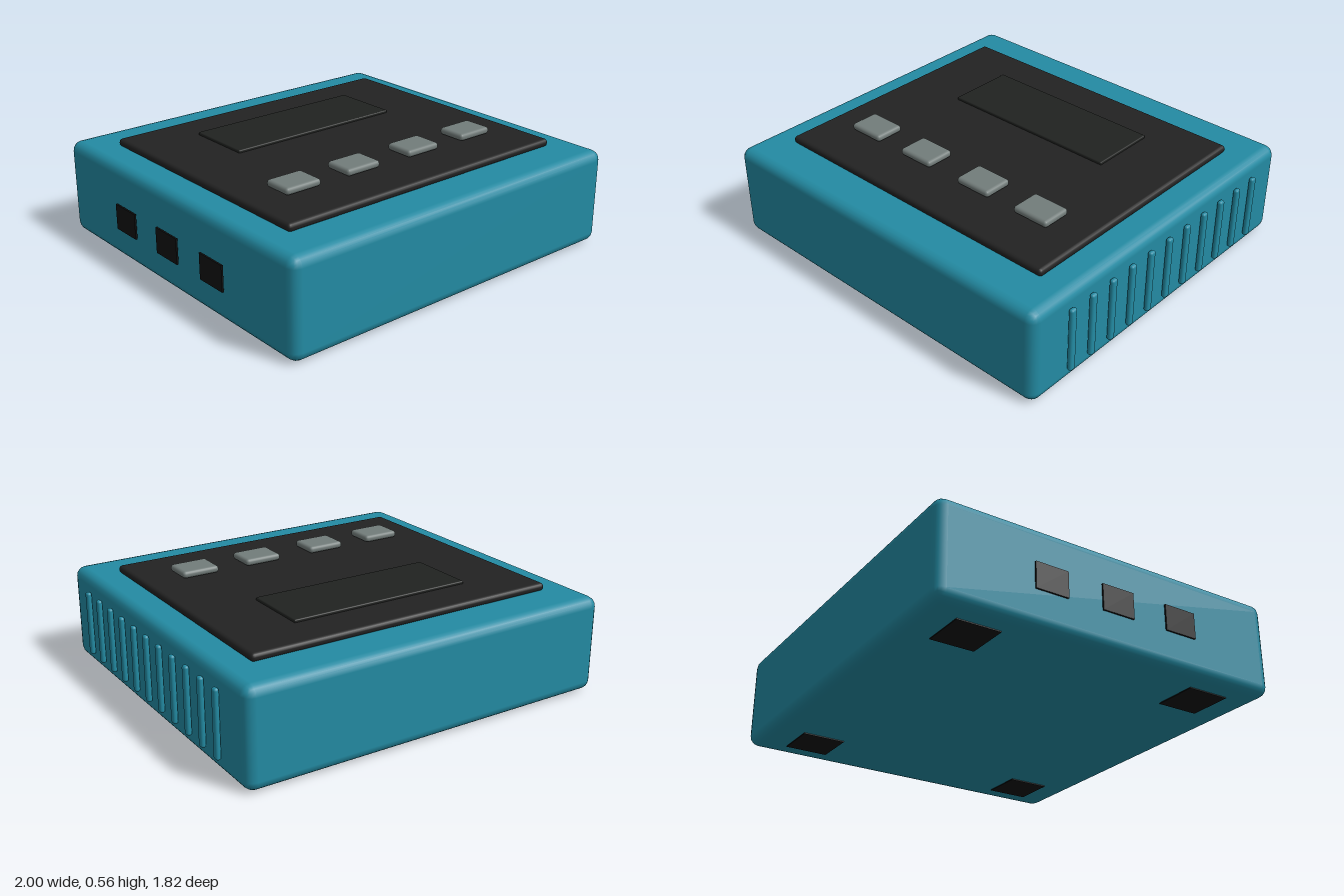
import * as THREE from 'three';
import { RoundedBoxGeometry } from 'three/addons/geometries/RoundedBoxGeometry.js';

const flat = (name, color) => {
  const m = new THREE.MeshStandardMaterial({ color });
  m.name = name;
  return m;
};

export function createModel() {
  const teal = flat('teal shell', 0x238ba3);
  const charcoal = flat('charcoal panel', 0x222222);
  const glass = flat('dark screen', 0x202220);
  const grey = flat('grey button', 0x727c7a);
  const black = flat('black rubber', 0x111111);

  const model = new THREE.Group();
  model.name = 'deviceBox';

  // Adds a box from its size and centre, rounded when a radius is given
  const box = (name, mat, [w, h, d], [x, y, z], radius = 0, segments = 2) => {
    const geo = radius
      ? new RoundedBoxGeometry(w, h, d, segments, radius)
      : new THREE.BoxGeometry(w, h, d);
    const mesh = new THREE.Mesh(geo, mat);
    mesh.name = name;
    mesh.position.set(x, y, z);
    model.add(mesh);
  };

  // Shell, top panel and screen
  box('shell', teal, [1.945, 0.484, 1.82], [-0.005, 0.247, 0], 0.05);
  box('topPanel', charcoal, [1.635, 0.04, 1.38], [-0.005, 0.504, 0], 0.018);
  box('screen', glass, [0.96, 0.018, 0.35], [-0.005, 0.529, -0.305], 0.006);

  // Row of four buttons
  [-0.55, -0.197, 0.182, 0.536].forEach((x, i) =>
    box(`button${i + 1}`, grey, [0.197, 0.036, 0.155], [x, 0.546, 0.376], 0.016));

  // Upright grip ribs on the left side
  for (let i = 0; i < 11; i++) {
    box(`gripRib${i + 1}`, teal, [0.026, 0.335, 0.036], [0.985, 0.247, -0.68 + i * 0.136], 0.012);
  }

  // Three ports on the right side
  [-0.355, 0, 0.355].forEach((z, i) =>
    box(`port${i + 1}`, black, [0.009, 0.13, 0.17], [-0.9945, 0.235, z]));

  // Four thin feet underneath
  for (const x of [-0.745, 0.735]) {
    for (const z of [-0.63, 0.63]) {
      box('foot', black, [0.22, 0.009, 0.22], [x, 0.0045, z]);
    }
  }
  return model;
}
